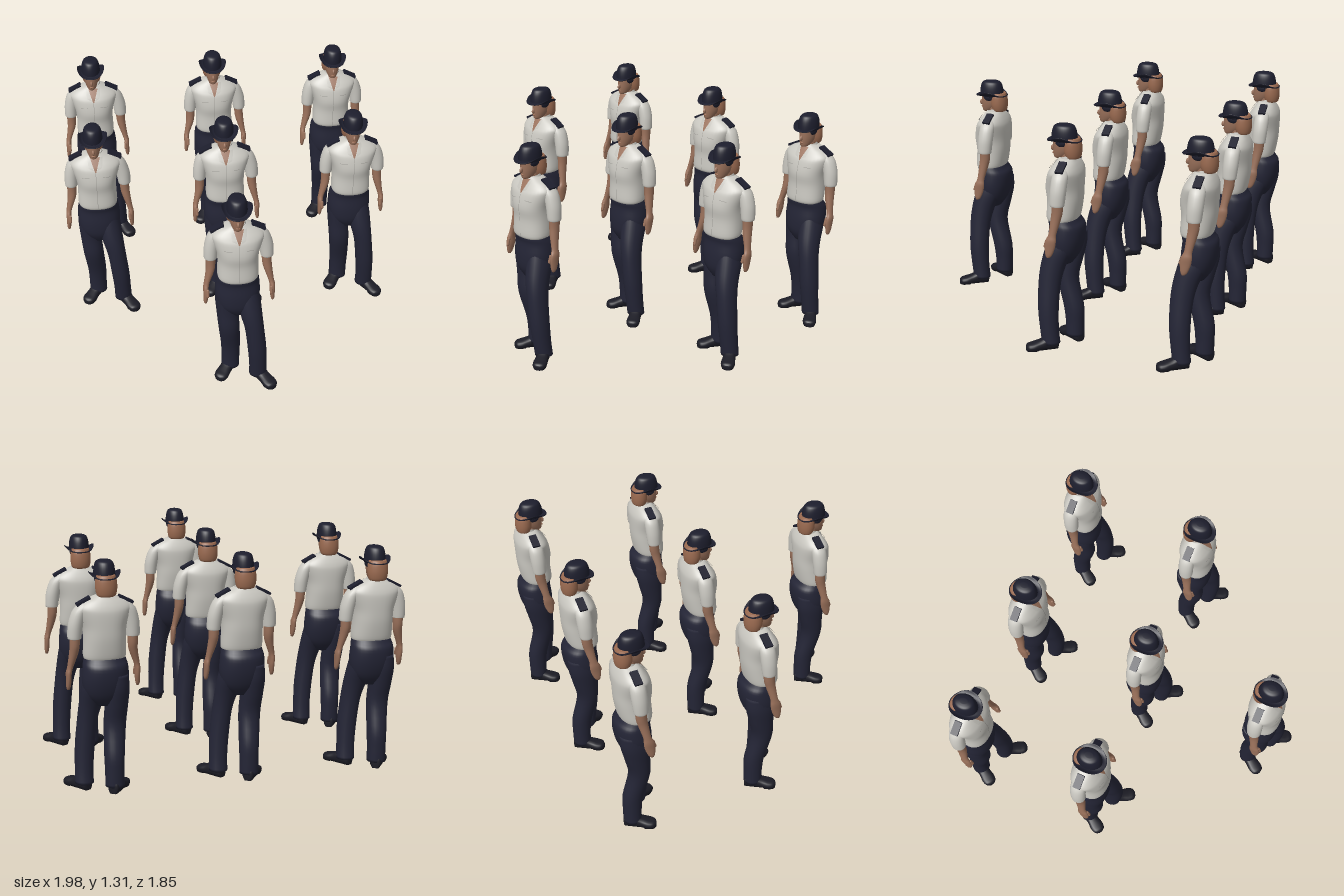
import * as THREE from 'three';

const mat = (name, color, side = THREE.FrontSide) => {
  const m = new THREE.MeshStandardMaterial({ color, side });
  m.name = name;
  return m;
};

// Smooth skin through elliptical rings [y, cx, cz, rx, rz], listed bottom to top
function loft(rings, { seg = 24, sub = 4, p = 2, caps = true } = {}) {
  const pos = [], idx = [], rows = [];
  const mix = (a, b, c, d, t) => 0.5 * (2 * b + (c - a) * t + (2 * a - 5 * b + 4 * c - d) * t * t + (3 * b - a - 3 * c + d) * t ** 3);
  const at = i => rings[Math.min(Math.max(i, 0), rings.length - 1)];
  for (let i = 0; i < rings.length - 1; i++)
    for (let s = 0; s < sub; s++)
      rows.push(rings[i].map((v, k) => mix(at(i - 1)[k], v, at(i + 1)[k], at(i + 2)[k], s / sub)));
  rows.push(rings[rings.length - 1]);
  const round = v => Math.sign(v) * Math.abs(v) ** (2 / p);
  for (const [y, cx, cz, rx, rz] of rows)
    for (let j = 0; j < seg; j++) {
      const a = (j / seg) * Math.PI * 2;
      pos.push(cx + rx * round(Math.sin(a)), y, cz + rz * round(Math.cos(a)));
    }
  for (let i = 0; i < rows.length - 1; i++)
    for (let j = 0; j < seg; j++) {
      const a = i * seg + j, b = i * seg + (j + 1) % seg;
      idx.push(a, b, a + seg, b, b + seg, a + seg);
    }
  if (caps) {
    const end = (rows.length - 1) * seg, n = rows.length * seg;
    for (const r of [rows[0], rows[rows.length - 1]]) pos.push(r[1], r[0], r[2]);
    for (let j = 0; j < seg; j++) {
      const k = (j + 1) % seg;
      idx.push(n, k, j, n + 1, end + j, end + k);
    }
  }
  const g = new THREE.BufferGeometry();
  g.setAttribute('position', new THREE.Float32BufferAttribute(pos, 3));
  g.setIndex(idx);
  g.computeVertexNormals();
  return g;
}

// Move every vertex by a rule
function bend(g, rule) {
  const p = g.attributes.position, v = new THREE.Vector3();
  for (let i = 0; i < p.count; i++) {
    rule(v.fromBufferAttribute(p, i));
    p.setXYZ(i, v.x, v.y, v.z);
  }
  g.computeVertexNormals();
  return g;
}

const CX = -0.02; // body axis
const TORSO = [
  [0.762, CX, -0.027, 0.11, 0.082], [0.785, CX, -0.03, 0.118, 0.092], [0.875, CX, -0.04, 0.116, 0.098],
  [0.95, CX, -0.038, 0.122, 0.104], [1.025, CX, -0.045, 0.145, 0.097], [1.06, CX, -0.05, 0.15, 0.084],
  [1.09, CX, -0.053, 0.118, 0.066], [1.11, CX, -0.053, 0.075, 0.052], [1.122, CX, -0.053, 0.045, 0.044],
];
const P = 2.3;

// Front surface of the shirt at x, y
function chestZ(x, y) {
  let i = 0;
  while (i < TORSO.length - 2 && y > TORSO[i + 1][0]) i++;
  const t = (y - TORSO[i][0]) / (TORSO[i + 1][0] - TORSO[i][0]);
  const [, cx, cz, rx, rz] = TORSO[i].map((v, k) => v + (TORSO[i + 1][k] - v) * t);
  return cz + rz * Math.max(0, 1 - Math.abs((x - cx) / rx) ** P) ** (1 / P);
}

// Thin four-cornered plate laid on the chest: bottom left, bottom right, top left, top right
function plate(c, lift = 0.004) {
  return bend(new THREE.PlaneGeometry(1, 1, 6, 10), v => {
    const s = v.x + 0.5, t = v.y + 0.5;
    const f = k => (c[0][k] * (1 - s) + c[1][k] * s) * (1 - t) + (c[2][k] * (1 - s) + c[3][k] * s) * t;
    v.x = CX + f(0);
    v.y = f(1);
    v.z = chestZ(v.x, v.y) + lift;
  });
}

export function createModel() {
  const shirt = mat('shirt', 0xcac8c1), seam = mat('shirt seam', 0xa5a39d);
  const collarCloth = mat('collar cloth', 0xc2c0b9, THREE.DoubleSide);
  const trousers = mat('trousers', 0x242536), navy = mat('hat navy', 0x1d1e2d);
  const shoe = mat('shoe', 0x1c1c25), skin = mat('skin', 0x99705a), hair = mat('hair', 0x9a6a50);

  const parts = [];
  const add = (name, geo, m, pos = [0, 0, 0], rot = [0, 0, 0]) => parts.push({ name, geo, m, pos, rot });

  // Shirt
  add('shirtBody', loft(TORSO, { seg: 36, p: P }), shirt);
  add('neckOpening', plate([[-0.003, 1.035], [0.003, 1.035], [-0.03, 1.112], [0.03, 1.112]]), skin);
  add('placket', plate([[-0.0015, 0.775], [0.0015, 0.775], [-0.0015, 1.035], [0.0015, 1.035]]), seam);
  for (const s of [-1, 1]) {
    const flip = c => (s > 0 ? c : [c[1], c[0], c[3], c[2]]).map(([x, y]) => [x * s, y]);
    add('collarFlap', plate(flip([[0.012, 1.047], [0.04, 1.06], [0.03, 1.113], [0.046, 1.113]]), 0.009), collarCloth);
    add('pocketSeam', plate(flip([[0.04, 1.0], [0.085, 0.996], [0.04, 1.003], [0.085, 0.999]])), seam);
    add('epaulette', new THREE.BoxGeometry(0.085, 0.014, 0.045, 3, 1, 1), navy,
      [CX + s * 0.117, 1.093, -0.058], [0, 0, -s * 0.48]);
  }
  // Collar band rising at the nape
  const band = loft([[1.1, CX, -0.053, 0.054, 0.05], [1.135, CX, -0.053, 0.043, 0.041]], { caps: false });
  add('collarBand', bend(band, v => { v.y -= 0.018 * Math.max(0, (v.z + 0.053) / 0.05); }), collarCloth);

  // Arms: sleeve, forearm with hand, thumb
  const arms = [
    { x: [-0.125, -0.152, -0.168, -0.174, -0.178, -0.198, -0.204, -0.207] },
    { x: [0.09, 0.118, 0.139, 0.147, 0.153, 0.17, 0.178, 0.18] },
  ];
  for (const { x } of arms) {
    const s = Math.sign(x[0]);
    add('sleeve', loft([
      [0.888, x[3], -0.053, 0.037, 0.04], [0.905, x[3], -0.053, 0.039, 0.043], [0.97, x[2], -0.056, 0.042, 0.046],
      [1.035, x[1], -0.058, 0.042, 0.046], [1.07, x[0], -0.057, 0.042, 0.042], [1.088, x[0], -0.057, 0.02, 0.024],
    ], { seg: 20 }), shirt);
    add('forearmAndHand', loft([
      [0.588, x[7], -0.008, 0.007, 0.009], [0.605, x[7], -0.012, 0.012, 0.02], [0.65, x[6], -0.018, 0.015, 0.031],
      [0.69, x[6], -0.024, 0.016, 0.031], [0.725, x[5], -0.031, 0.017, 0.023], [0.8, x[4], -0.044, 0.025, 0.029],
      [0.85, x[3], -0.052, 0.028, 0.032], [0.91, x[3], -0.053, 0.029, 0.032],
    ], { seg: 16 }), skin);
    add('thumb', new THREE.CapsuleGeometry(0.009, 0.035, 4, 8), skin, [x[6] - s * 0.008, 0.668, 0.008], [-0.3, 0, 0]);
  }

  // Trousers
  add('hips', loft([
    [0.5, CX, -0.03, 0.06, 0.05], [0.56, CX, -0.036, 0.112, 0.085], [0.64, CX, -0.045, 0.129, 0.1],
    [0.72, CX, -0.05, 0.125, 0.098], [0.755, CX, -0.037, 0.118, 0.09], [0.782, CX, -0.029, 0.11, 0.082],
  ], { seg: 32, p: 2.2 }), trousers);
  add('leftTrouserLeg', loft([
    [0.035, 0.1, 0.012, 0.053, 0.052], [0.12, 0.098, 0.022, 0.052, 0.054], [0.25, 0.09, 0.03, 0.055, 0.06],
    [0.4, 0.074, 0.025, 0.056, 0.065], [0.5, 0.056, 0.008, 0.064, 0.073], [0.6, 0.042, -0.025, 0.068, 0.083],
    [0.68, 0.035, -0.045, 0.06, 0.08],
  ], { p: 2.1 }), trousers);
  add('rightTrouserLeg', loft([
    [0.035, -0.057, -0.078, 0.054, 0.052], [0.12, -0.057, -0.078, 0.054, 0.054], [0.22, -0.058, -0.07, 0.057, 0.059],
    [0.38, -0.07, -0.033, 0.062, 0.062], [0.5, -0.079, -0.045, 0.064, 0.073], [0.6, -0.083, -0.055, 0.067, 0.086],
    [0.68, -0.08, -0.058, 0.062, 0.085],
  ], { p: 2.1 }), trousers);

  // Shoes, built along their length and laid flat on the ground
  const shoeGeo = loft([
    [-0.045, 0, -0.03, 0.016, 0.022], [-0.035, 0, -0.034, 0.032, 0.036], [0.02, 0, -0.036, 0.036, 0.038],
    [0.06, 0, -0.028, 0.038, 0.03], [0.1, 0, -0.022, 0.042, 0.024], [0.13, 0, -0.019, 0.034, 0.02],
    [0.143, 0, -0.016, 0.012, 0.012],
  ], { seg: 20, p: 2.4 }).rotateX(Math.PI / 2);
  bend(shoeGeo, v => { if (v.y < 0.008) v.y = 0; });
  add('leftShoe', shoeGeo, shoe, [0.105, 0, 0.014], [0, 0.58, 0]);
  add('rightShoe', shoeGeo, shoe, [-0.06, 0, -0.085], [0, -0.58, 0]);

  // Head
  const hx = -0.026;
  add('neck', loft([[1.06, hx, -0.052, 0.04, 0.04], [1.11, hx, -0.05, 0.036, 0.037], [1.16, hx, -0.048, 0.035, 0.038]]), skin);
  add('face', loft([
    [1.111, hx, 0.002, 0.012, 0.016], [1.119, hx, -0.008, 0.026, 0.035], [1.145, hx, -0.024, 0.038, 0.055],
    [1.18, hx, -0.032, 0.045, 0.064], [1.24, hx, -0.036, 0.047, 0.066],
  ]), skin);
  add('nose', new THREE.SphereGeometry(1, 10, 8).scale(0.009, 0.018, 0.013), skin, [hx, 1.168, 0.034], [-0.3, 0, 0]);
  add('lips', new THREE.SphereGeometry(1, 10, 6).scale(0.014, 0.005, 0.006), hair, [hx, 1.14, 0.03]);
  add('bobbedHair', loft([
    [1.118, hx, -0.088, 0.038, 0.03], [1.127, hx, -0.087, 0.052, 0.043], [1.165, hx, -0.084, 0.06, 0.052],
    [1.21, hx, -0.082, 0.058, 0.051], [1.235, hx, -0.078, 0.05, 0.046],
  ]), hair);

  // Hat
  const hz = -0.035;
  for (const s of [-1, 1])
    add('hatLining', new THREE.SphereGeometry(1, 12, 8).scale(0.012, 0.026, 0.034), navy, [hx + s * 0.043, 1.212, -0.03]);
  add('hatCrown', loft([
    [1.215, hx, hz, 0.059, 0.076], [1.25, hx, hz, 0.058, 0.074], [1.282, hx, hz, 0.053, 0.067],
    [1.303, hx, hz, 0.042, 0.053], [1.311, hx, hz, 0.016, 0.022],
  ], { seg: 32 }), navy);
  const brim = loft([
    [1.214, hx, hz, 0.05, 0.066], [1.213, hx, hz, 0.07, 0.084], [1.214, hx, hz, 0.085, 0.098],
    [1.22, hx, hz, 0.086, 0.099], [1.221, hx, hz, 0.07, 0.084], [1.226, hx, hz, 0.05, 0.066],
  ], { seg: 40, sub: 3, caps: false });
  add('hatBrim', bend(brim, v => { v.y += 0.03 * ((v.x - hx) / 0.086) ** 4; }), navy);

  // Formation of seven identical figures
  const model = new THREE.Group();
  model.name = 'uniformedSquad';
  const D = 0.78;
  for (const [cx, cz] of [[-1, -1], [0, -1], [1, -1], [-1, 0], [0, 0], [1, 0], [0, 1]]) {
    const figure = new THREE.Group();
    figure.name = 'officer';
    for (const { name, geo, m, pos, rot } of parts) {
      const mesh = new THREE.Mesh(geo, m);
      mesh.name = name;
      mesh.position.set(...pos);
      mesh.rotation.set(...rot);
      figure.add(mesh);
    }
    figure.position.set(cx * D, 0, cz * D);
    model.add(figure);
  }
  return model;
}
